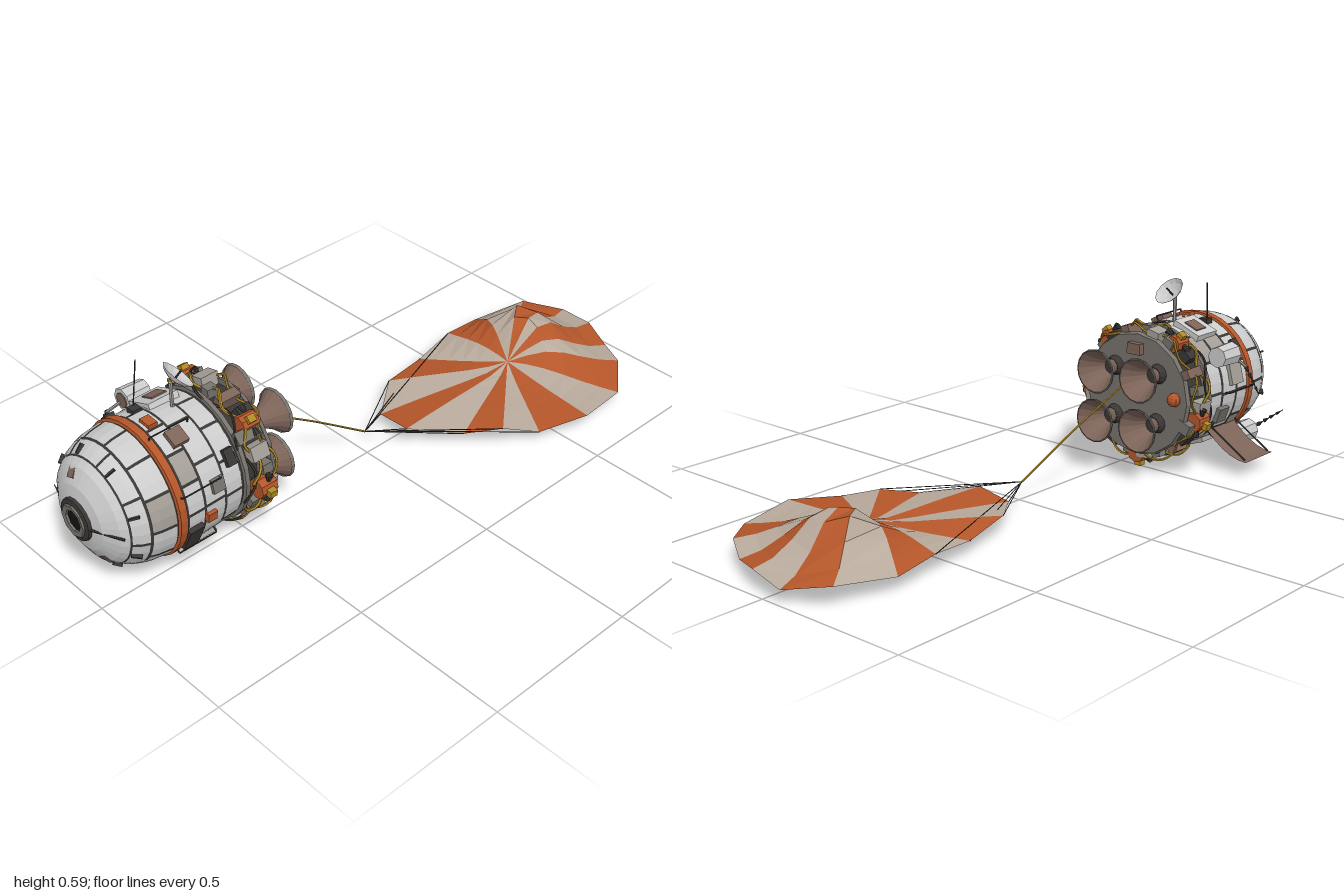
import * as THREE from 'three';

const V = (x, y, z) => new THREE.Vector3(x, y, z);
const mat = (color) => new THREE.MeshStandardMaterial({ color, flatShading: true, side: THREE.DoubleSide });
const hull = mat(0xcccccc), worn = mat(0xa39e96), mid = mat(0x77736d), dark = mat(0x393735), black = mat(0x151413);
const orange = mat(0xb5562a), yellow = mat(0xb08a25), brown = mat(0x7d6459), cloth = mat(0xb8aa9c);

function add(parent, name, geo, material, x = 0, y = 0, z = 0) {
  const m = new THREE.Mesh(geo, material);
  m.name = name;
  m.position.set(x, y, z);
  parent.add(m);
  return m;
}
const box = (w, h, d) => new THREE.BoxGeometry(w, h, d);
// Cylinder lying along z; r1 is the front radius
const drum = (r1, r2, len, n = 24) => new THREE.CylinderGeometry(r1, r2, len, n).rotateX(Math.PI / 2);
// Lathe around z from [radius, z] pairs
const turned = (pts, n, start = 0, len = Math.PI * 2) =>
  new THREE.LatheGeometry(pts.map(([r, z]) => new THREE.Vector2(r, z)), n, start, len).rotateX(Math.PI / 2);

function strut(parent, name, a, b, r, material, r2 = r, n = 6) {
  const m = add(parent, name, new THREE.CylinderGeometry(r2, r, a.distanceTo(b), n), material);
  m.position.copy(a).lerp(b, 0.5);
  m.quaternion.setFromUnitVectors(V(0, 1, 0), b.clone().sub(a).normalize());
  return m;
}
// Group whose local x axis points outward from the hull axis at the given angle
function spoke(parent, name, deg) {
  const g = new THREE.Group();
  g.name = name;
  g.rotation.z = THREE.MathUtils.degToRad(deg);
  parent.add(g);
  return g;
}

function buildHull(body) {
  add(body, 'innerHull', turned([[0, 0.56], [0.196, 0.56], [0.198, 0.79], [0.192, 0.85], [0.175, 0.9], [0.142, 0.943], [0.098, 0.968], [0, 0.98]], 32), dark);
  // Rows of hull plates with gaps between them
  const rows = [
    [[[0.199, 0.575], [0.201, 0.632]], 12], [[[0.202, 0.637], [0.204, 0.705]], 10], [[[0.204, 0.71], [0.204, 0.765]], 14],
    [[[0.203, 0.802], [0.197, 0.85], [0.19, 0.875]], 12], [[[0.188, 0.88], [0.179, 0.902], [0.164, 0.925]], 8],
    [[[0.162, 0.928], [0.145, 0.948], [0.1, 0.974], [0.05, 0.985]], 8],
  ];
  rows.forEach(([profile, count], r) => {
    const step = (Math.PI * 2) / count;
    for (let i = 0; i < count; i++) {
      const gap = r === 5 ? 0 : 0.03;
      add(body, 'hullPlate', turned(profile, Math.ceil(32 / count), i * step + r * 0.35, step - gap), (i * 5 + r * 3) % 7 === 0 ? worn : hull);
    }
  });
  add(body, 'orangeBand', turned([[0.2, 0.77], [0.209, 0.772], [0.209, 0.795], [0.2, 0.798]], 32), orange);
  // Clips over the dome seam
  for (let i = 0; i < 8; i++) {
    const s = spoke(body, 'domeClip', i * 45 + 20);
    add(s, 'clip', box(0.03, 0.006, 0.012), dark, 0.176, 0, 0.913).rotation.y = 0.9;
  }
  // Dome patches
  [110, 235, 300].forEach((a, i) => {
    const s = spoke(body, 'domePatch', a);
    add(s, 'patch', box(0.034, 0.03, 0.006), brown, 0.128 + i * 0.005, 0, 0.955 - i * 0.003).rotation.y = 0.62;
  });
  // Docking port and its lever
  add(body, 'portCollar', turned([[0.066, 0.975], [0.064, 0.992], [0.05, 0.995], [0.048, 0.98]], 16), dark);
  add(body, 'portRing', turned([[0.05, 0.98], [0.05, 1.0], [0.034, 0.998], [0.034, 0.98]], 8), mid);
  add(body, 'portHole', drum(0.035, 0.035, 0.01, 12), black, 0, 0, 0.986);
  strut(body, 'portLever', V(0.065, 0, 0.985), V(0.158, 0, 0.945), 0.004, dark);
  // Boxes, hatches and ports on the barrel: angle, z, tangential width, length, material
  [[112, 0.65, 0.1, 0.1, hull], [112, 0.645, 0.05, 0.05, brown], [62, 0.71, 0.05, 0.05, brown], [-25, 0.745, 0.09, 0.05, dark],
    [-55, 0.66, 0.05, 0.06, worn], [15, 0.66, 0.04, 0.04, mid], [30, 0.6, 0.05, 0.03, dark], [165, 0.7, 0.07, 0.06, worn],
    [200, 0.64, 0.05, 0.05, mid], [250, 0.7, 0.08, 0.07, worn], [280, 0.62, 0.04, 0.05, dark], [85, 0.74, 0.04, 0.03, orange],
    [-10, 0.69, 0.03, 0.03, orange], [140, 0.75, 0.03, 0.03, dark]].forEach(([a, z, w, d, m]) => {
    add(spoke(body, 'hullFitting', a), 'fitting', box(m === brown ? 0.034 : 0.026, w, d), m, 0.201, 0, z);
  });
  // Handrails
  [70, 20, -40, 180, 225].forEach((a) => {
    const s = spoke(body, 'handrail', a);
    strut(s, 'rail', V(0.218, 0, 0.65), V(0.218, 0, 0.78), 0.0025, dark);
    for (const z of [0.65, 0.78]) strut(s, 'railFoot', V(0.198, 0, z), V(0.218, 0, z), 0.0025, dark);
  });
}

function buildEngineBay(body) {
  add(body, 'bayCore', drum(0.185, 0.18, 0.12, 24), dark, 0, 0, 0.515);
  add(body, 'bayFrontRing', turned([[0.18, 0.55], [0.207, 0.552], [0.207, 0.566], [0.18, 0.57]], 24), mid);
  add(body, 'rearPlate', drum(0.2, 0.195, 0.014, 16), mid, 0, 0, 0.458);
  // Equipment boxes around the bay
  for (let i = 0; i < 22; i++) {
    const s = spoke(body, 'equipment', (i * 360) / 22 + 6);
    const k = (i * 7) % 5;
    add(s, 'equipmentBox', box(0.03 + k * 0.004, 0.03 + (k % 3) * 0.007, 0.035 + k * 0.012), [mid, dark, worn, brown, mid][k], 0.197, 0, 0.49 + (i % 3) * 0.016);
  }
  // Orange thruster pods
  [[123, 0], [47, 0], [-9, 1], [-85, 1], [197, 1]].forEach(([a, big]) => {
    const s = spoke(body, 'thrusterPod', a);
    const w = big ? 0.05 : 0.042;
    add(s, 'pod', drum(w / 2 + 0.006, w / 2 + 0.006, 0.055, 8), orange, 0.208, 0, 0.505);
    add(s, 'podCap', box(0.02, 0.022, 0.025), yellow, big ? 0.243 : 0.236, 0, 0.505);
    for (const d of [-1, 1]) {
      const n = add(s, 'podNozzle', new THREE.CylinderGeometry(0.012, 0.006, 0.022, 8, 1, true), dark, 0.22, d * 0.036, 0.5);
      if (d < 0) n.rotation.x = Math.PI;
    }
  });
  // Wavy yellow and dark pipes
  [[yellow, 0.214, 0.53, 0.005, 11, 0], [yellow, 0.212, 0.475, 0.004, 9, 1], [dark, 0.208, 0.55, 0.004, 7, 2]].forEach(([m, r, z, t, waves, ph]) => {
    const pts = [];
    for (let i = 0; i < 44; i++) {
      const a = (i / 44) * Math.PI * 2, rr = r + 0.011 * Math.sin(a * waves + ph);
      pts.push(V(rr * Math.cos(a), rr * Math.sin(a), z + 0.016 * Math.cos(a * waves + ph)));
    }
    add(body, 'pipe', new THREE.TubeGeometry(new THREE.CatmullRomCurve3(pts, true), 110, t, 5, true), m);
  });
  // Four engine bells
  for (const sx of [-1, 1]) for (const sy of [-1, 1]) {
    const e = new THREE.Group();
    e.name = 'engine';
    e.position.set(sx * 0.083, sy * 0.08, 0);
    body.add(e);
    add(e, 'bell', turned([[0.069, 0.346], [0.052, 0.368], [0.037, 0.392], [0.026, 0.418], [0.022, 0.44]], 16), brown);
    add(e, 'bellLip', turned([[0.067, 0.344], [0.071, 0.345], [0.068, 0.354]], 16), mid);
    add(e, 'throat', drum(0.034, 0.026, 0.03, 12), dark, 0, 0, 0.442);
  }
  // Fittings on the rear plate
  add(body, 'tank', new THREE.SphereGeometry(0.024, 10, 8), hull, 0.15, 0, 0.445);
  add(body, 'tank', new THREE.SphereGeometry(0.022, 10, 8), orange, -0.15, 0.01, 0.445);
  add(body, 'valveBox', box(0.05, 0.035, 0.03), brown, 0, 0.15, 0.445);
  add(body, 'valveBox', box(0.06, 0.03, 0.03), mid, 0, -0.15, 0.445);
  add(body, 'tetherMount', drum(0.016, 0.01, 0.075, 8), yellow, 0, 0.05, 0.42);
}

function buildAntennas(root) {
  // Dish on a mast
  strut(root, 'dishMast', V(-0.093, 0.44, 0.645), V(-0.093, 0.535, 0.645), 0.006, worn);
  const dish = add(root, 'dish', new THREE.LatheGeometry([[0, 0], [0.022, 0.003], [0.04, 0.011], [0.052, 0.022]].map(([r, y]) => new THREE.Vector2(r, y)), 12), hull, -0.088, 0.54, 0.638);
  dish.quaternion.setFromUnitVectors(V(0, 1, 0), V(0.2, 0.72, -0.66).normalize());
  strut(dish, 'dishFeed', V(0, 0, 0), V(0, 0.035, 0), 0.003, dark);
  strut(root, 'whipAntenna', V(-0.163, 0.44, 0.727), V(-0.183, 0.585, 0.69), 0.002, dark);
  add(root, 'whipBase', box(0.03, 0.02, 0.03), dark, -0.155, 0.45, 0.727);
  // Side pods, each with a beaded spike
  [[-0.298, 0.38, 0.63, V(-0.335, 0.335, 0.7), V(-0.385, 0.256, 0.7)], [-0.238, 0.068, 0.84, V(-0.27, 0.09, 0.885), V(-0.362, 0.157, 0.885)]].forEach(([x, y, z, a, b]) => {
    const pod = new THREE.Group();
    pod.name = 'sidePod';
    root.add(pod);
    add(pod, 'podShell', drum(0.037, 0.033, 0.08, 8), hull, x, y, z);
    add(pod, 'podFace', drum(0.024, 0.024, 0.006, 8), brown, x, y, z + 0.04);
    strut(pod, 'podArm', V(x, y, z), V(x * 0.6 - 0.04, y * 0.6 + 0.1, z), 0.012, mid);
    strut(pod, 'spikeArm', V(x, y, z + 0.03), a, 0.005, worn);
    strut(pod, 'spike', a, b, 0.0015, dark);
    for (let i = 0; i < 4; i++) {
      const p = a.clone().lerp(b, i * 0.25), q = a.clone().lerp(b, i * 0.25 + 0.2);
      strut(pod, 'spikeCone', p, q, 0.008 - i * 0.001, dark, 0.001);
    }
  });
  // Curved side panel
  const panel = new THREE.PlaneGeometry(0.15, 0.15, 5, 2).rotateX(Math.PI / 2).translate(-0.325, 0, 0.695);
  const p = panel.attributes.position;
  for (let i = 0; i < p.count; i++) p.setY(i, 0.05 + 3.5 * (p.getX(i) + 0.4) ** 2);
  panel.computeVertexNormals();
  add(root, 'sidePanel', panel, brown);
  for (const z of [0.63, 0.76]) strut(root, 'panelStay', V(-0.39, 0.055, z), V(-0.24, 0.15, z), 0.0025, dark);
}

function buildParachute(root) {
  const rim = [[-0.07, -1], [0.06, -0.98], [0.17, -0.935], [0.27, -0.875], [0.37, -0.755], [0.395, -0.57], [0.335, -0.415], [0.26, -0.33],
    [0.18, -0.24], [0.055, -0.115], [-0.07, -0.125], [-0.165, -0.255], [-0.2, -0.43], [-0.225, -0.59], [-0.235, -0.74], [-0.185, -0.92]];
  const n = rim.length, rings = 6, apex = [0.05, -0.58];
  // Canopy lies nearly flat, with one billow
  const at = (i, t) => {
    const [rx, rz] = rim[i % n];
    const x = apex[0] + (rx - apex[0]) * t, z = apex[1] + (rz - apex[1]) * t;
    const billow = 0.12 * Math.exp(-((x + 0.03) ** 2) / 0.035 - ((z + 0.74) ** 2) / 0.016) * (1 - t ** 4);
    return V(x, 0.068 + billow - t * t * 0.014 + t * 0.008 * (i % 2 ? 1 : -1), z);
  };
  const chute = new THREE.Group();
  chute.name = 'parachute';
  root.add(chute);
  for (let i = 0; i < n; i++) {
    const pts = [];
    for (let k = 0; k < rings; k++) {
      const a = at(i, k / rings), b = at(i + 1, k / rings), c = at(i, (k + 1) / rings), d = at(i + 1, (k + 1) / rings);
      pts.push(c, a, d);
      if (k > 0) pts.push(a, b, d);
    }
    const g = new THREE.BufferGeometry().setFromPoints(pts);
    g.computeVertexNormals();
    add(chute, 'gore', g, i % 2 ? orange : cloth);
  }
  // Suspension lines and tether
  const knot = V(-0.02, 0.066, -0.01);
  for (let i = 6; i < 14; i++) strut(chute, 'suspensionLine', at(i, 1), knot, 0.0014, dark, 0.0014, 4);
  const path = new THREE.CatmullRomCurve3([V(-0.093, 0.305, 0.4), V(-0.06, 0.197, 0.2), knot]);
  add(chute, 'tether', new THREE.TubeGeometry(path, 16, 0.0032, 5), yellow);
}

export function createModel() {
  const root = new THREE.Group();
  root.name = 'spaceCapsule';
  const body = new THREE.Group();
  body.name = 'body';
  body.position.set(-0.093, 0.254, 0);
  root.add(body);
  buildHull(body);
  buildEngineBay(body);
  buildAntennas(root);
  buildParachute(root);
  return root;
}
